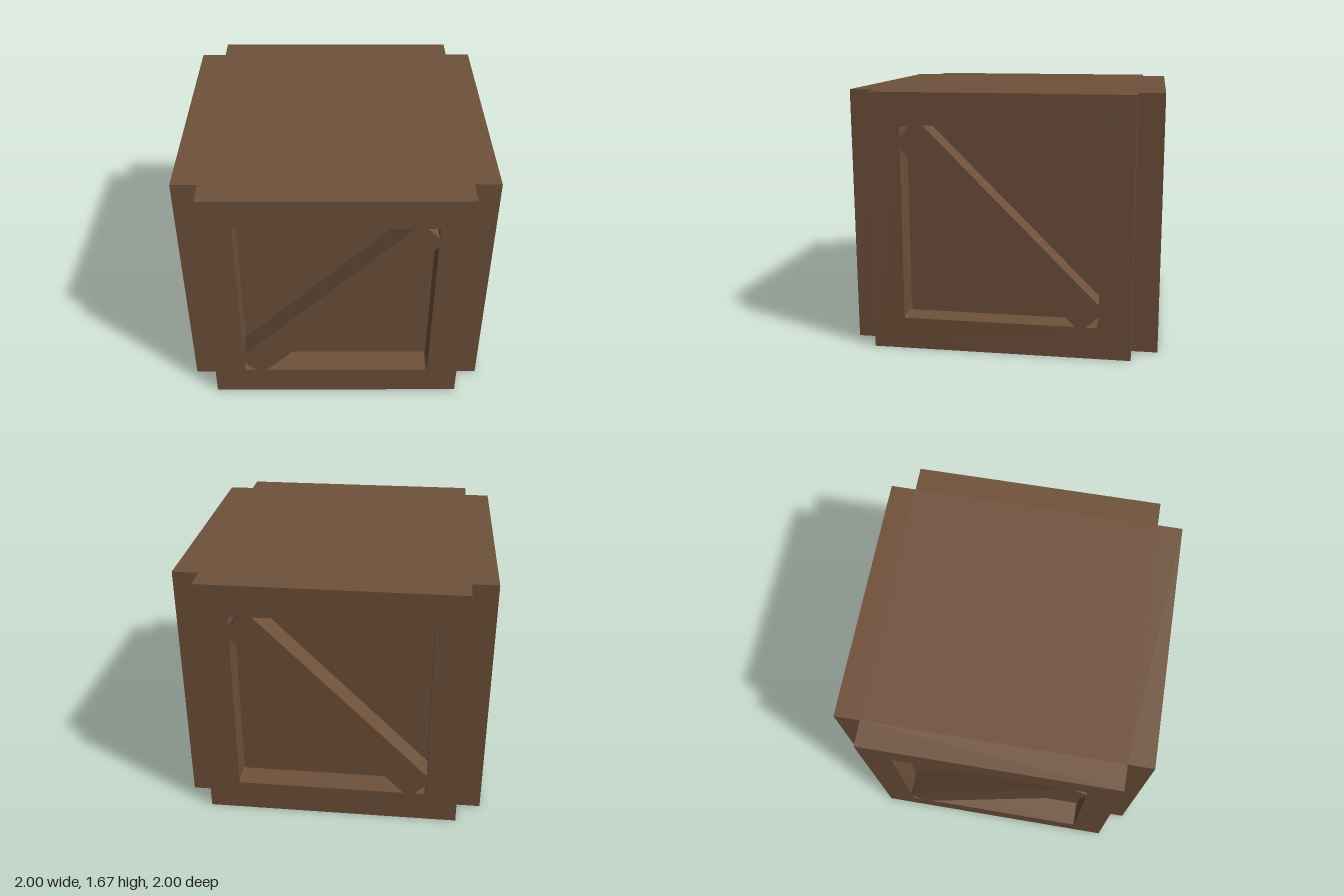
import * as THREE from 'three';

const HALF = 0.833;   // half size of the core cube
const DEPTH = 0.167;  // thickness of each side frame
const R = 0.628;      // half size of the recessed opening
const C = 0.01;       // tiny clipped corner
const BIG = 1.107;    // leg of the large triangular recess
const SMALL = 0.078;  // leg of the small corner recess

const wood = new THREE.MeshStandardMaterial({ color: 0x6f513a });
wood.name = 'brown wood';

// Right-angled recess with its square corner at (cx, cy) * R and the given leg length
function triangleHole(cx, cy, leg, slope) {
  const pts = [[R - leg, R], [R - C, R], [R, R - C], [R, R - leg]];
  return new THREE.Path(pts.map(([x, y]) => new THREE.Vector2(x * cx * slope, y * cy)));
}

// Square frame with a diagonal brace; slope 1 rises to the right, -1 to the left
function framePanel(slope) {
  const s = new THREE.Shape([
    new THREE.Vector2(-HALF, -HALF), new THREE.Vector2(HALF, -HALF),
    new THREE.Vector2(HALF, HALF), new THREE.Vector2(-HALF, HALF),
  ]);
  s.holes.push(
    triangleHole(-1, 1, BIG, slope), triangleHole(1, -1, BIG, slope),
    triangleHole(1, 1, SMALL, slope), triangleHole(-1, -1, SMALL, slope),
  );
  return new THREE.ExtrudeGeometry(s, { depth: DEPTH, bevelEnabled: false });
}

export function createModel() {
  const crate = new THREE.Group();
  crate.name = 'crate';

  // Solid body behind the frames
  const core = new THREE.Mesh(new THREE.BoxGeometry(2 * HALF, 2 * HALF, 2 * HALF), wood);
  core.name = 'core';
  core.position.y = HALF;
  crate.add(core);

  // Braced frames on the four sides: name, turn about y, brace slope
  const sides = [
    ['frontFrame', 0, 1],
    ['leftFrame', Math.PI / 2, -1],
    ['backFrame', Math.PI, -1],
    ['rightFrame', -Math.PI / 2, 1],
  ];
  for (const [name, turn, slope] of sides) {
    const frame = new THREE.Mesh(framePanel(slope), wood);
    frame.name = name;
    frame.rotation.y = turn;
    frame.position.set(Math.sin(turn) * HALF, HALF, Math.cos(turn) * HALF);
    crate.add(frame);
  }
  return crate;
}
